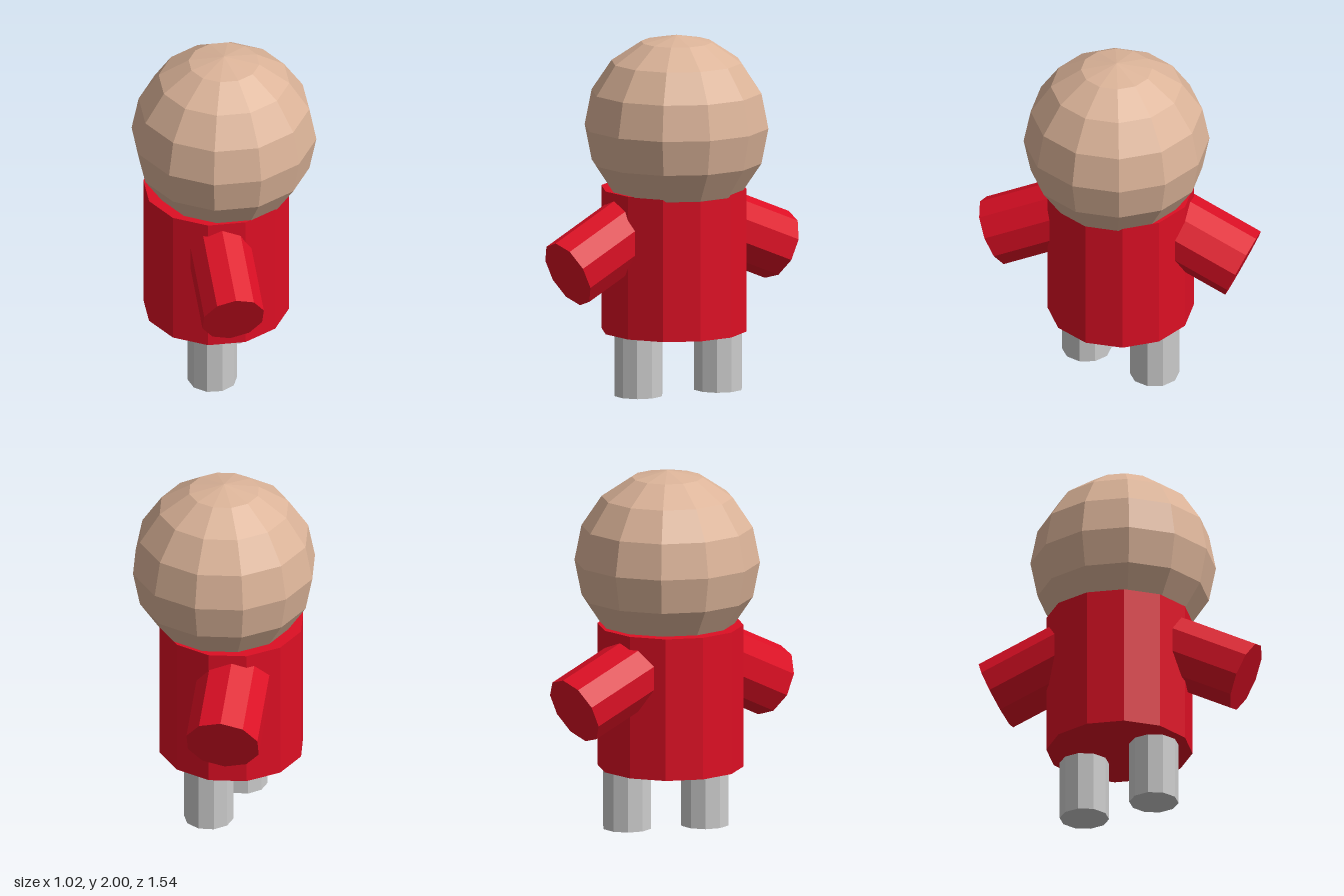
import * as THREE from 'three';

const paint = (name, color) => {
  const m = new THREE.MeshStandardMaterial({ color, flatShading: true });
  m.name = name;
  return m;
};

export function createModel() {
  const model = new THREE.Group();
  model.name = 'figure';
  const skin = paint('skin tan', 0xdcb499);
  const red = paint('coat red', 0xdd0f24);
  const grey = paint('leg grey', 0xcccccc);

  const add = (name, geometry, material, x, y, z) => {
    const mesh = new THREE.Mesh(geometry, material);
    mesh.name = name;
    mesh.position.set(x, y, z);
    model.add(mesh);
    return mesh;
  };

  // Faceted ball head, sunk into the body
  add('head', new THREE.SphereGeometry(0.51, 12, 8), skin, 0, 1.49, 0.01);

  // Straight body
  add('body', new THREE.CylinderGeometry(0.402, 0.402, 0.795, 12), red, -0.037, 0.7475, -0.013);

  // Stubby legs, staggered; their tops are hidden in the body
  const leg = (name, x, z, bottom) => {
    const height = 0.45 - bottom;
    add(name, new THREE.CylinderGeometry(0.136, 0.136, height, 10), grey, x, bottom + height / 2, z);
  };
  leg('rightLeg', -0.14, 0.17, 0);
  leg('leftLeg', 0.128, -0.195, 0.015);

  // Arms slope down and outward: end centre, outward direction, half width and height
  const arm = (name, end, direction, w, h) => {
    const length = 0.55;
    const geometry = new THREE.CylinderGeometry(1, 1, length, 10)
      .rotateX(Math.PI / 2)
      .translate(0, 0, -length / 2)
      .scale(w, h, 1);
    const mesh = add(name, geometry, red, ...end);
    mesh.lookAt(new THREE.Vector3(...end).add(new THREE.Vector3(...direction)));
  };
  arm('frontArm', [-0.235, 0.73, 0.67], [-0.23, -0.48, 1], 0.175, 0.2);
  arm('backArm', [0.152, 0.755, -0.68], [0.38, -0.45, -1], 0.207, 0.195);

  return model;
}
